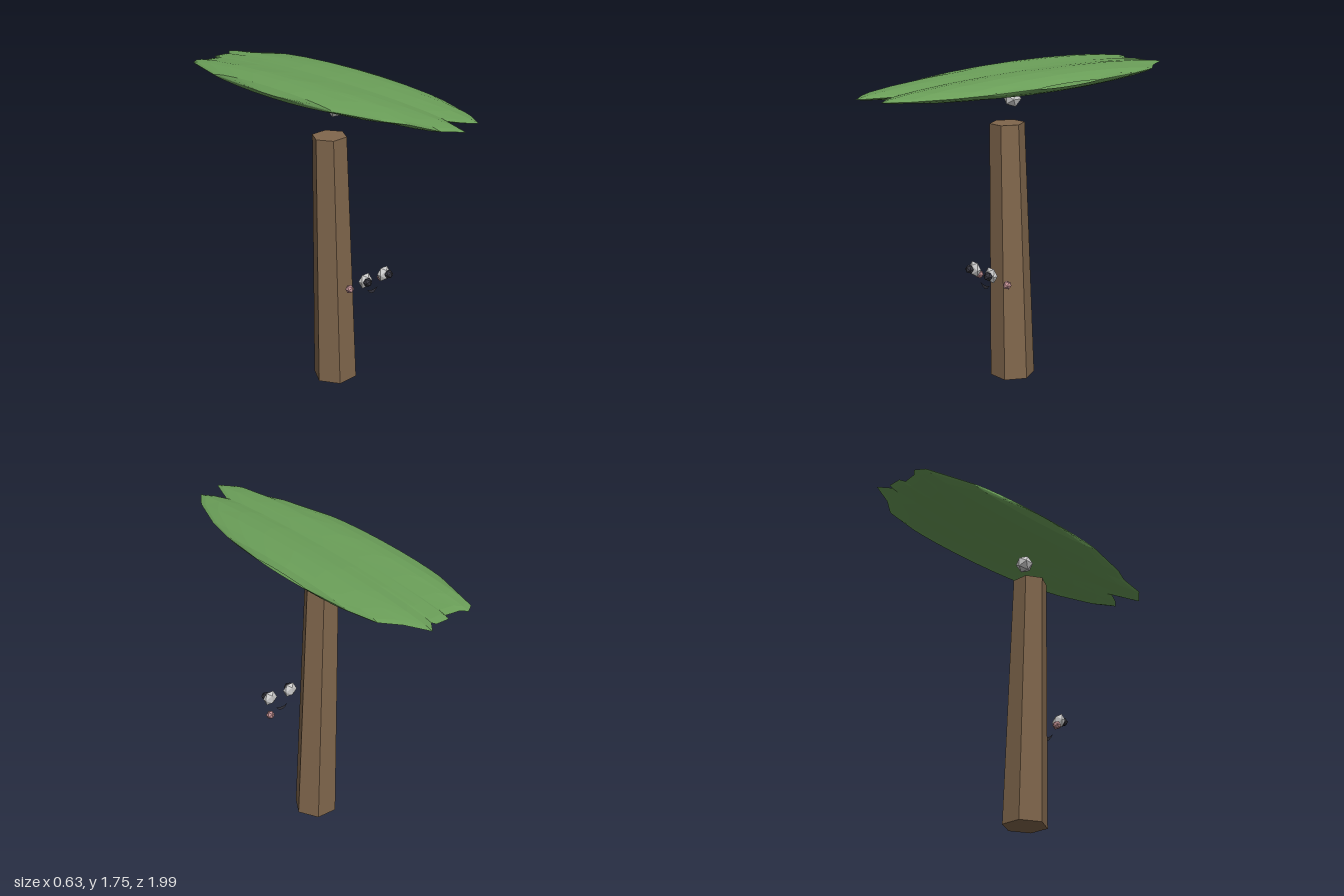
import * as THREE from 'three';

const mat = (color, extra = {}) =>
  new THREE.MeshStandardMaterial({ color, flatShading: true, ...extra });

function add(parent, name, geometry, material, x = 0, y = 0, z = 0) {
  const mesh = new THREE.Mesh(geometry, material);
  mesh.name = name;
  mesh.position.set(x, y, z);
  parent.add(mesh);
  return mesh;
}

// Long fronds merged side by side: each column is [x, back z, front z].
function canopyGeometry() {
  const columns = [
    [-0.32, -0.2, -0.1], [-0.29, -0.65, 0.32], [-0.215, -0.93, 0.61], [-0.165, -0.965, 0.72],
    [-0.13, -0.935, 0.9], [-0.05, -0.925, 0.99], [-0.04, -0.96, 0.97], [0.015, -0.96, 0.81],
    [0.04, -0.96, 0.86], [0.05, -0.935, 0.88], [0.1, -1, 0.94], [0.17, -0.87, 0.83],
    [0.25, -0.78, 0.6], [0.29, -0.6, 0.4], [0.315, -0.3, 0.1],
  ];
  const steps = 10;
  const positions = [];
  // Two rounded lobes across, tapering to thin tips at both ends.
  const point = (i, j, side) => {
    const [x, back, front] = columns[i];
    const s = -Math.cos((Math.PI * j) / steps);
    const a = Math.abs(x);
    const across = a < 0.15
      ? 0.78 + 0.22 * Math.sin((a / 0.15) * Math.PI / 2)
      : Math.sqrt(Math.max(0, 1 - ((a - 0.15) / 0.167) ** 2));
    const half = 0.054 * across * Math.max(0, 1 - s * s) ** 0.7;
    return [x, 1.7 + side * half, (back + front) / 2 + (s * (front - back)) / 2];
  };
  for (const side of [1, -1]) {
    for (let i = 0; i < columns.length - 1; i++) {
      for (let j = 0; j < steps; j++) {
        const a = point(i, j, side), b = point(i, j + 1, side);
        const c = point(i + 1, j + 1, side), d = point(i + 1, j, side);
        const corners = side > 0 ? [a, b, c, a, c, d] : [a, c, b, a, d, c];
        positions.push(...corners.flat());
      }
    }
  }
  const geometry = new THREE.BufferGeometry();
  geometry.setAttribute('position', new THREE.Float32BufferAttribute(positions, 3));
  geometry.computeVertexNormals();
  return geometry;
}

export function createModel() {
  const model = new THREE.Group();
  model.name = 'palmTree';

  const bark = mat(0x80664c);
  const leaf = mat(0x6a9e58, { side: THREE.DoubleSide });
  const grey = mat(0xcccccc);
  const dark = mat(0x33333c, { side: THREE.DoubleSide });
  const pink = mat(0xc08f92);

  // Leaning six-sided trunk
  const trunk = add(model, 'trunk',
    new THREE.CylinderGeometry(0.097, 0.125, 1.45, 6).rotateY(Math.PI / 6),
    bark, -0.024, 0.729, 0.025);
  trunk.rotation.z = 0.03;

  // Canopy and the fruit hanging under it
  add(model, 'canopy', canopyGeometry(), leaf);
  add(model, 'fruit', new THREE.IcosahedronGeometry(0.05, 0), grey, 0, 1.595, 0.025);

  // Face floating in front of the trunk
  const face = new THREE.Group();
  face.name = 'face';
  face.position.set(0.055, 0, 0);
  model.add(face);
  for (const [label, side] of [['left', 1], ['right', -1]]) {
    const eye = add(face, label + 'Eye', new THREE.IcosahedronGeometry(0.046, 0), grey,
      side * 0.071, 0.678, 0.28);
    eye.scale.z = 0.55;
    add(face, label + 'Pupil', new THREE.IcosahedronGeometry(0.026, 0), dark,
      side * 0.081, 0.68, 0.308);
    add(face, label + 'Cheek', new THREE.IcosahedronGeometry(0.025, 0), pink,
      side * 0.122, 0.62, 0.21);
  }

  // Thin crescent smile
  const smile = new THREE.Shape();
  smile.moveTo(-0.04, 0.607);
  smile.quadraticCurveTo(0, 0.549, 0.04, 0.607);
  smile.quadraticCurveTo(0, 0.588, -0.04, 0.607);
  add(face, 'mouth', new THREE.ShapeGeometry(smile, 5), dark, 0, 0, 0.265);

  return model;
}
